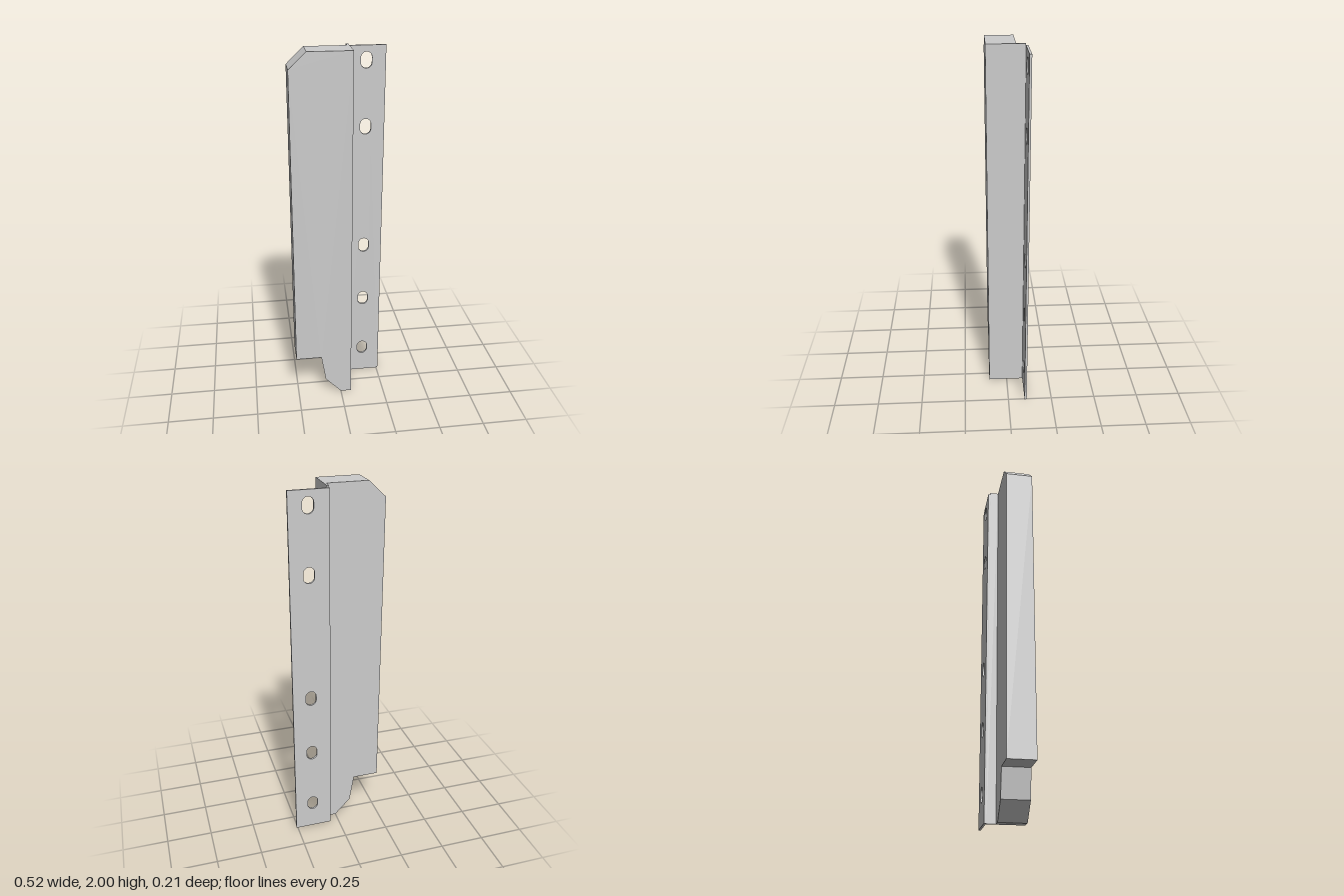
import * as THREE from 'three';

const material = new THREE.MeshStandardMaterial({ color: 0xcccccc, flatShading: true });

// Extrude a front outline between two depths
function plate(name, shape, zBack, zFront) {
  const geometry = new THREE.ExtrudeGeometry(shape, {
    depth: zFront - zBack, bevelEnabled: false, curveSegments: 10,
  });
  geometry.translate(0, 0, zBack);
  const mesh = new THREE.Mesh(geometry, material);
  mesh.name = name;
  return mesh;
}

const outline = (points) => new THREE.Shape(points.map(([x, y]) => new THREE.Vector2(x, y)));

const rectangle = (x0, x1, y0, y1) => outline([[x0, y0], [x1, y0], [x1, y1], [x0, y1]]);

// Upright slot with rounded ends
function slot(x, y, radius, height) {
  const half = height / 2 - radius;
  const path = new THREE.Path();
  path.absarc(x, y + half, radius, 0, Math.PI, false);
  path.absarc(x, y - half, radius, Math.PI, Math.PI * 2, false);
  path.closePath();
  return path;
}

export function createModel() {
  const group = new THREE.Group();
  group.name = 'mountingBracket';

  // Solid body with a chamfered top corner and a stepped foot
  const body = outline([
    [0, 0], [0.06, 0], [0.06, 2], [-0.17, 2], [-0.26, 1.915],
    [-0.26, 0.25], [-0.115, 0.25], [-0.09, 0.095],
  ]);
  group.add(plate('body', body, -0.046, 0.104));

  // Thin web joining the body to the flange
  group.add(plate('web', rectangle(0.048, 0.06, 0, 2), -0.094, -0.046));

  // Slotted mounting flange
  const flange = rectangle(0.048, 0.258, 0.003, 1.99);
  for (const y of [0.165, 0.515, 0.865, 1.565, 1.915]) {
    flange.holes.push(slot(0.157, y, 0.029, 0.084));
  }
  group.add(plate('flange', flange, -0.106, -0.094));

  return group;
}
